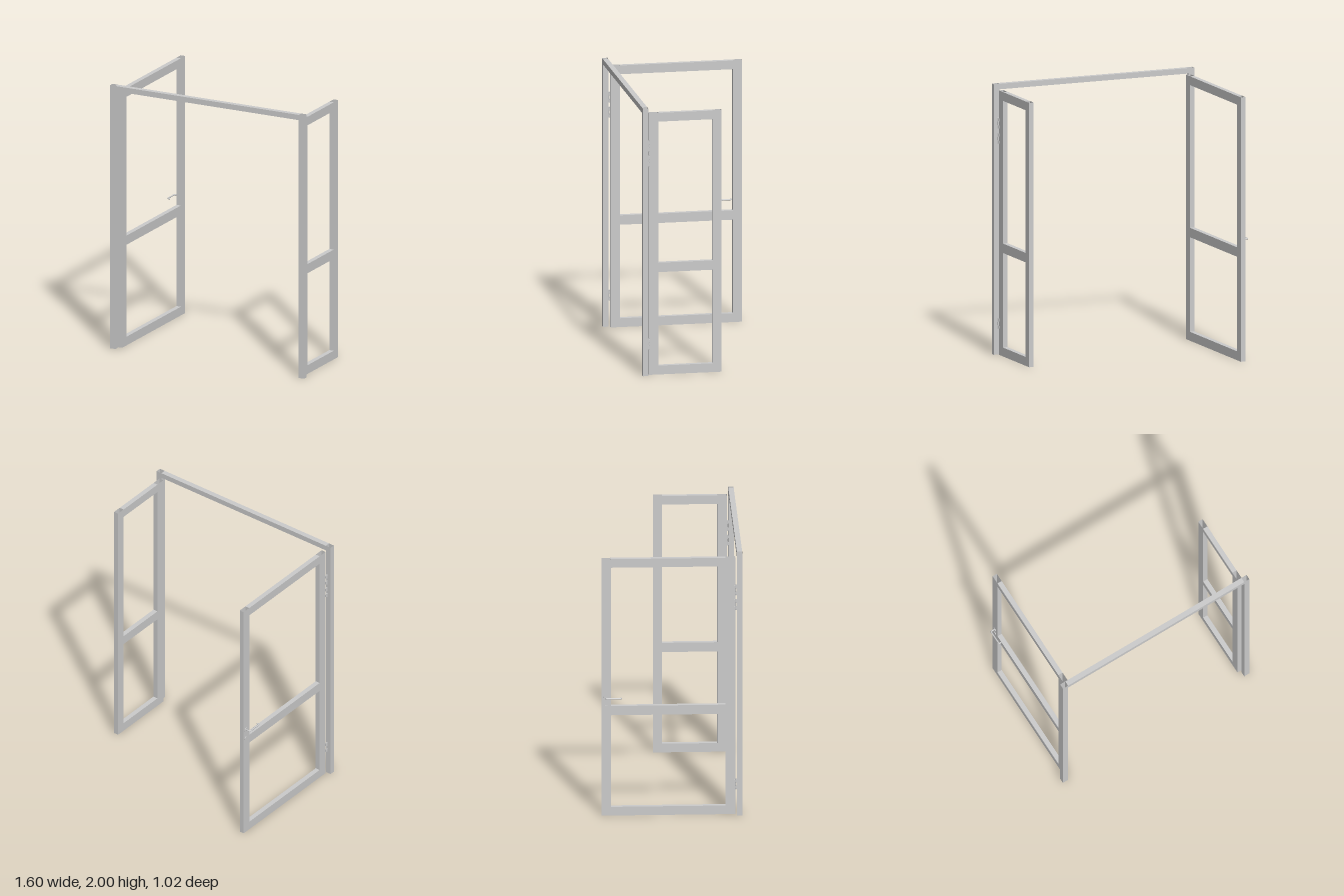
import * as THREE from 'three';

const grey = new THREE.MeshStandardMaterial({ color: 0xcccccc });
const hollow = new THREE.MeshStandardMaterial({ color: 0xcccccc, side: THREE.DoubleSide });

function add(parent, name, geometry, material = grey) {
  const mesh = new THREE.Mesh(geometry, material);
  mesh.name = name;
  parent.add(mesh);
  return mesh;
}

// Solid bar given by its extents on each axis
function bar(parent, name, [x0, x1], [y0, y1], [z0, z1]) {
  const mesh = add(parent, name, new THREE.BoxGeometry(x1 - x0, y1 - y0, z1 - z0));
  mesh.position.set((x0 + x1) / 2, (y0 + y1) / 2, (z0 + z1) / 2);
  return mesh;
}

// Upright hollow section: a bar without its end caps
function upright(parent, name, x, y, z) {
  const mesh = bar(parent, name, x, y, z);
  const index = Array.from(mesh.geometry.index.array);
  index.splice(12, 12);
  mesh.geometry.setIndex(index);
  mesh.geometry.clearGroups();
  mesh.material = hollow;
}

// Leaf standing open at a right angle: two stiles and three rails
function leaf(parent, name, x, zBack) {
  const group = new THREE.Group();
  group.name = name;
  const zFront = 0.46, top = 1.955;
  upright(group, 'hingeStile', x, [0, top], [0.39, zFront]);
  upright(group, 'lockStile', x, [0, top], [zBack, zBack + 0.066]);
  for (const [rail, y] of [['bottomRail', [0, 0.066]], ['middleRail', [0.765, 0.835]], ['topRail', [1.89, top]]]) {
    bar(group, rail, x, y, [zBack + 0.066, 0.39]);
  }
  parent.add(group);
}

// Hinge with two knuckles on a pin and a thin flap into the gap
function hinge(parent, side, y) {
  const group = new THREE.Group();
  group.name = 'hinge';
  group.position.set(side * 0.769, y, 0.465);
  for (const dy of [-0.026, 0.026]) {
    add(group, 'hingeKnuckle', new THREE.CylinderGeometry(0.006, 0.006, 0.028, 12)).position.y = dy;
    bar(group, 'hingeFlap', [-0.003, 0.003], [dy - 0.01, dy + 0.01], [-0.014, 0.01]);
  }
  add(group, 'hingePin', new THREE.CylinderGeometry(0.003, 0.003, 0.08, 8));
  parent.add(group);
}

// Lever handle and key rose on the outer face of the wide leaf
function lever(parent) {
  const group = new THREE.Group();
  group.name = 'leverHandle';
  for (const [name, y] of [['handleRose', 0.9], ['keyRose', 0.825]]) {
    const rose = add(group, name, new THREE.CylinderGeometry(0.018, 0.018, 0.007, 20));
    rose.rotation.z = Math.PI / 2;
    rose.position.set(-0.7625, y, -0.482);
  }
  const path = new THREE.CurvePath();
  const points = [[-0.76, -0.482], [-0.785, -0.482], [-0.795, -0.472], [-0.795, -0.38], [-0.789, -0.371], [-0.78, -0.371]]
    .map(([x, z]) => new THREE.Vector3(x, 0.9, z));
  const corner = (z) => new THREE.Vector3(-0.795, 0.9, z);
  path.add(new THREE.LineCurve3(points[0], points[1]));
  path.add(new THREE.QuadraticBezierCurve3(points[1], corner(-0.482), points[2]));
  path.add(new THREE.LineCurve3(points[2], points[3]));
  path.add(new THREE.QuadraticBezierCurve3(points[3], corner(-0.371), points[4]));
  path.add(new THREE.LineCurve3(points[4], points[5]));
  add(group, 'leverGrip', new THREE.TubeGeometry(path, 48, 0.0055, 10));
  // Rounded tip closing the free end
  add(group, 'leverTip', new THREE.SphereGeometry(0.0055, 10, 8)).position.copy(points[5]);
  parent.add(group);
}

export function createModel() {
  const model = new THREE.Group();
  model.name = 'doubleDoor';

  // Door frame
  const frame = new THREE.Group();
  frame.name = 'doorFrame';
  model.add(frame);
  upright(frame, 'rightPost', [-0.799, -0.755], [0, 2], [0.472, 0.511]);
  upright(frame, 'leftPost', [0.755, 0.799], [0, 2], [0.472, 0.511]);
  bar(frame, 'header', [-0.755, 0.755], [1.96, 2], [0.472, 0.511]);

  // Wide and narrow leaves
  leaf(model, 'wideLeaf', [-0.762, -0.726], -0.511);
  leaf(model, 'narrowLeaf', [0.729, 0.765], -0.077);

  for (const side of [-1, 1]) {
    for (const y of [0.232, 1.6, 1.712]) hinge(model, side, y);
  }
  lever(model);
  return model;
}
